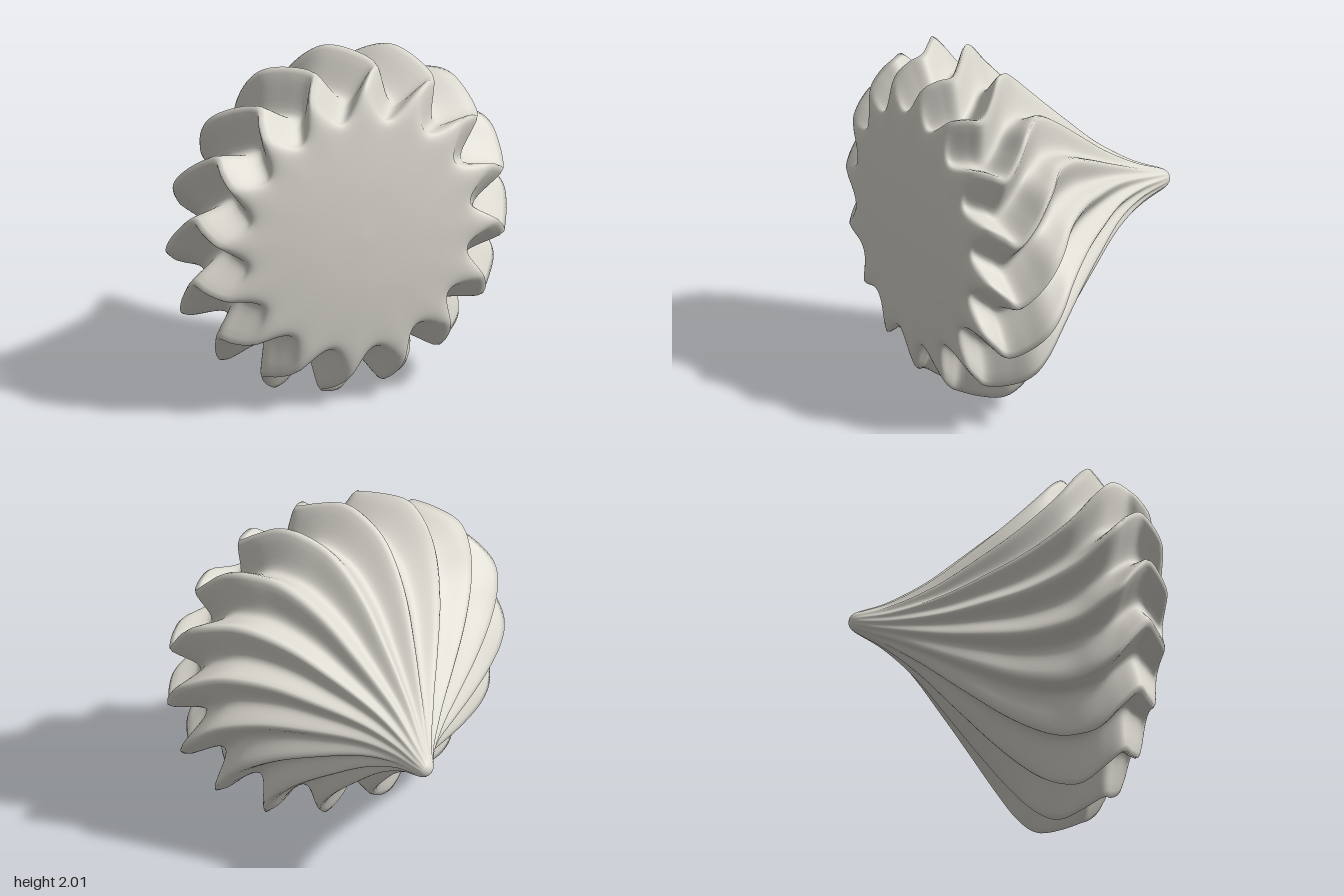
import * as THREE from 'three';

const LOBES = 16, SEGS = LOBES * 14, ROWS = 84;

// Each station: crest radius, z, groove depth (share of radius), swirl angle, crest softness
const stations = [
  [0.00, -0.82, 0.00, 0.75, 0.6],
  [0.05, -0.79, 0.02, 0.70, 0.6],
  [0.13, -0.61, 0.08, 0.58, 0.5],
  [0.27, -0.40, 0.14, 0.48, 0.4],
  [0.45, -0.20, 0.17, 0.40, 0.35],
  [0.64, 0.00, 0.18, 0.34, 0.3],
  [0.84, 0.20, 0.19, 0.24, 0.25],
  [0.96, 0.32, 0.20, 0.13, 0.2],
  [1.01, 0.41, 0.21, 0.04, 0.2],
  [0.99, 0.50, 0.22, -0.08, 0.2],
  [0.95, 0.59, 0.22, -0.17, 0.2],
  [0.91, 0.66, 0.22, -0.12, 0.2],
  [0.84, 0.725, 0.20, -0.06, 0.2],
  [0.73, 0.762, 0.10, -0.05, 0.3],
  [0.58, 0.783, 0.02, -0.05, 0.4],
  [0.30, 0.808, 0.00, -0.05, 0.5],
  [0.00, 0.818, 0.00, -0.05, 0.5],
];

export function createModel() {
  const group = new THREE.Group();
  group.name = 'meringue';
  const cream = new THREE.MeshStandardMaterial({ color: 0xdcd9d0 });
  cream.name = 'cream';

  const spline = (a, b) => new THREE.SplineCurve(stations.map(s => new THREE.Vector2(s[a], s[b])));
  const outline = spline(0, 1), fluting = spline(2, 3), softness = spline(4, 1);

  // Swirled rings from the piped tip to the flat base
  const positions = [], index = [];
  for (let i = 0; i <= ROWS; i++) {
    const t = i / ROWS;
    const p = outline.getPoint(t), f = fluting.getPoint(t), soft = softness.getPoint(t).x;
    const radius = (i === 0 || i === ROWS) ? 0 : Math.max(p.x, 0);
    // the tip leans a little to one side
    const lean = 0.025 * THREE.MathUtils.smoothstep(-p.y, 0.4, 0.82);
    for (let j = 0; j < SEGS; j++) {
      const phi = j / SEGS * Math.PI * 2;
      // sharp crests and rounded grooves
      const s = Math.sin(phi * LOBES / 2);
      const groove = (Math.sqrt(s * s + soft * soft) - soft) / (Math.sqrt(1 + soft * soft) - soft);
      // small hand-piped unevenness
      const wobble = 1 + 0.008 * Math.sin(3 * phi + 1) * Math.sin(5 * phi);
      const r = radius * wobble * (1 - Math.max(f.x, 0) * groove);
      const a = phi + f.y;
      positions.push(r * Math.cos(a) + lean, 1 + r * Math.sin(a), p.y);
      if (i < ROWS) {
        const k = (j + 1) % SEGS;
        const A = i * SEGS + j, B = i * SEGS + k, C = A + SEGS, D = B + SEGS;
        if (i > 0) index.push(A, B, D);
        if (i < ROWS - 1) index.push(A, D, C);
        else index.push();
      }
    }
  }
  const geometry = new THREE.BufferGeometry();
  geometry.setAttribute('position', new THREE.Float32BufferAttribute(positions, 3));
  geometry.setIndex(index);
  geometry.computeVertexNormals();

  const body = new THREE.Mesh(geometry, cream);
  body.name = 'swirledBody';
  group.add(body);
  return group;
}
